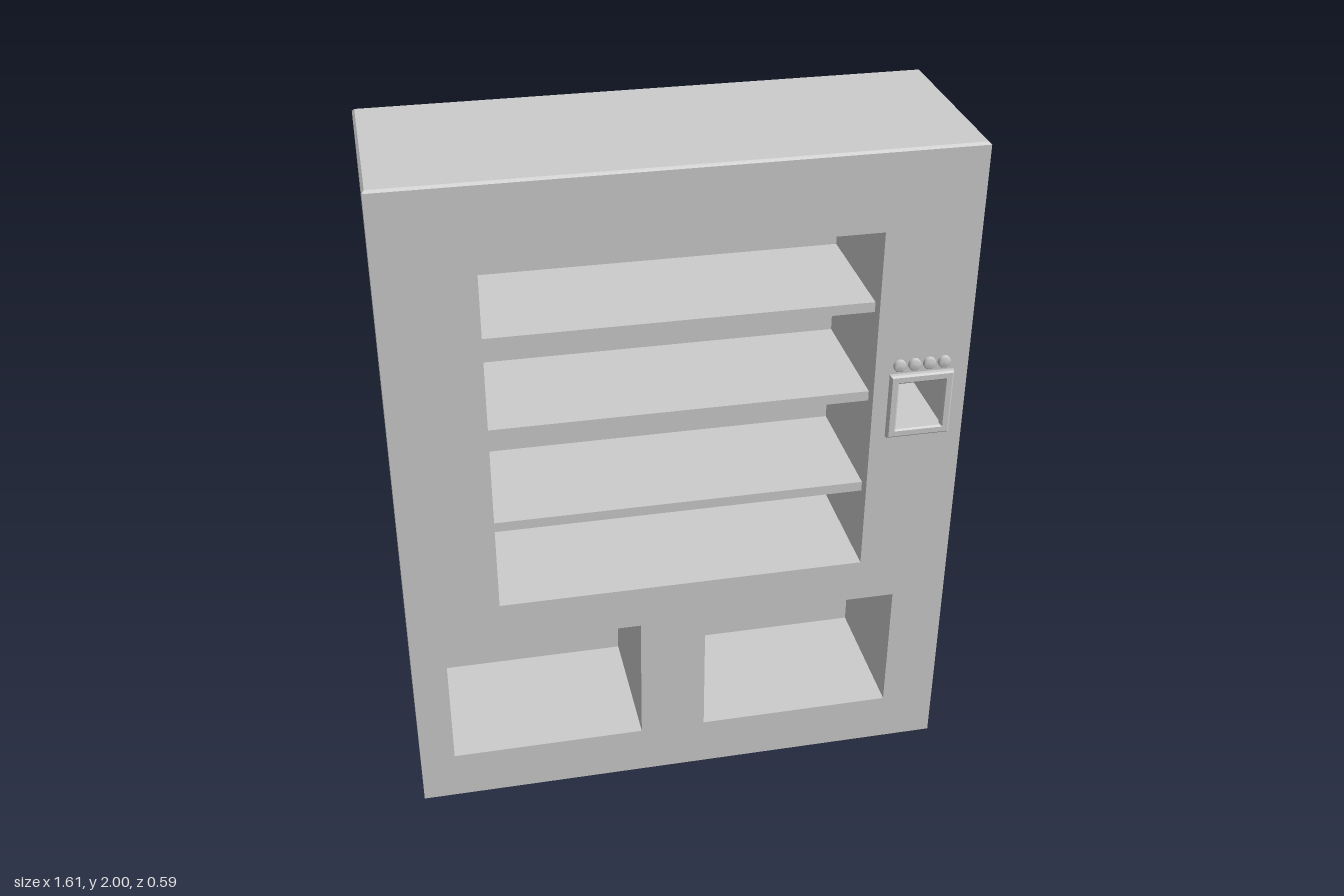
import * as THREE from 'three';

const material = new THREE.MeshStandardMaterial({ color: 0xcccccc });

// Rectangular outline, usable as a shape or as a hole
function rect(PathType, [x0, x1, y0, y1]) {
  const p = new PathType();
  p.moveTo(x0, y0);
  p.lineTo(x1, y0);
  p.lineTo(x1, y1);
  p.lineTo(x0, y1);
  p.closePath();
  return p;
}

// Slab with rectangular openings, running from z0 to z1
function slab(outline, holes, z0, z1) {
  const shape = rect(THREE.Shape, outline);
  shape.holes = holes.map((h) => rect(THREE.Path, h));
  const geo = new THREE.ExtrudeGeometry(shape, { depth: z1 - z0, bevelEnabled: false });
  return geo.translate(0, 0, z0);
}

export function createModel() {
  const group = new THREE.Group();
  const add = (name, geo) => {
    const mesh = new THREE.Mesh(geo, material);
    mesh.name = name;
    group.add(mesh);
    return mesh;
  };

  const left = -0.807, right = 0.805, top = 1.993;
  const front = 0.278, inner = -0.14, back = -0.295;
  const body = [left, right, 0, top];
  const display = [-0.54, 0.535, 0.7, 1.77];
  const bins = [[-0.705, -0.13, 0.155, 0.565], [0.065, 0.645, 0.155, 0.565]];
  const slot = [0.594, 0.746, 1.153, 1.32];

  // Cabinet: recessed front part and solid back part
  add('cabinetFront', slab(body, [display, ...bins, slot], inner, front));
  add('cabinetBack', slab(body, [], back, inner));

  // Top with a thin chamfer all round
  const cap = new THREE.BoxGeometry(right - left, 2 - top, front - back);
  const pos = cap.attributes.position;
  for (let i = 0; i < pos.count; i++) {
    if (pos.getY(i) > 0) {
      pos.setX(i, pos.getX(i) - Math.sign(pos.getX(i)) * 0.007);
      pos.setZ(i, pos.getZ(i) - Math.sign(pos.getZ(i)) * 0.007);
    }
  }
  cap.computeVertexNormals();
  cap.translate((left + right) / 2, (top + 2) / 2, (front + back) / 2);
  add('cabinetTop', cap);

  // Display shelves, set back a little from the opening
  for (const y of [0.945, 1.25, 1.53]) {
    add('shelf', slab([display[0], display[1], y - 0.015, y + 0.015], [], inner, 0.238));
  }

  // Raised frame around the small slot, with a chamfered front
  const frameShape = rect(THREE.Shape, [0.583, 0.757, 1.142, 1.331]);
  frameShape.holes.push(rect(THREE.Path, [0.599, 0.741, 1.158, 1.315]));
  const frame = new THREE.ExtrudeGeometry(frameShape, {
    depth: 0.012, bevelThickness: 0.005, bevelSize: 0.005, bevelSegments: 1,
  });
  add('slotFrame', frame.translate(0, 0, front));

  // Row of round push buttons above the slot
  const profile = [[0.018, 0], [0.018, 0.008], [0.014, 0.012], [0, 0.013]]
    .map(([r, h]) => new THREE.Vector2(r, h));
  const button = new THREE.LatheGeometry(profile, 24).rotateX(Math.PI / 2);
  for (let i = 0; i < 4; i++) {
    add('button', button).position.set(0.604 + i * 0.043, 1.363, front);
  }

  return group;
}
